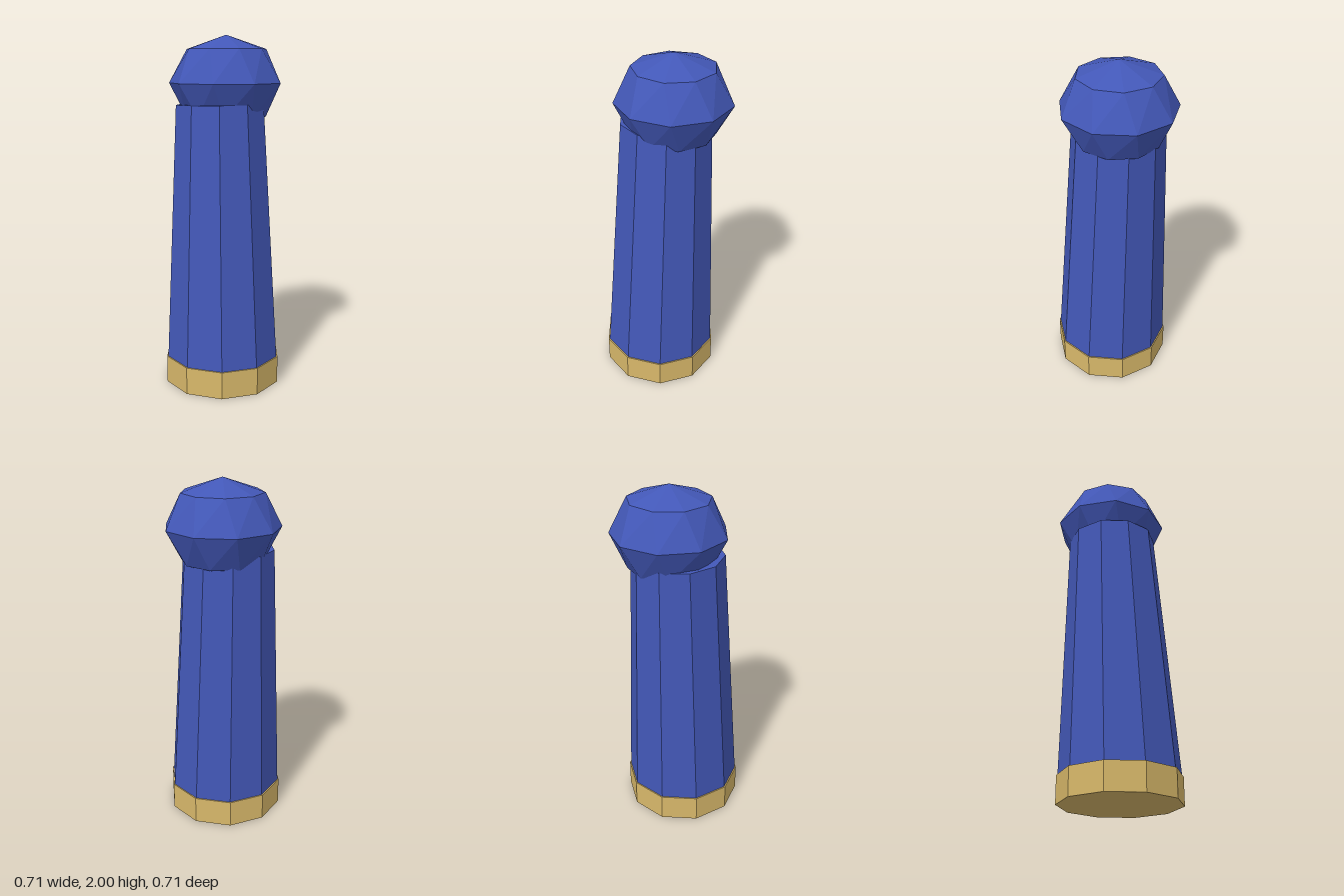
import * as THREE from 'three';
import { ConvexGeometry } from 'three/addons/geometries/ConvexGeometry.js';

const blue = new THREE.MeshStandardMaterial({ color: 0x4358b8, flatShading: true });
blue.name = 'blue';
const gold = new THREE.MeshStandardMaterial({ color: 0xd8b86a, flatShading: true });
gold.name = 'gold';

// Ten-sided section with a corner on the +x axis
function decagon(topRadius, bottomRadius, bottomY, topY) {
  const g = new THREE.CylinderGeometry(topRadius, bottomRadius, topY - bottomY, 10, 1, false, Math.PI / 2);
  return g.translate(0, (topY + bottomY) / 2, 0);
}

export function createModel() {
  const group = new THREE.Group();
  const add = (name, geometry, material) => {
    const mesh = new THREE.Mesh(geometry, material);
    mesh.name = name;
    group.add(mesh);
    return mesh;
  };

  // Gold trim around the foot
  add('goldBand', decagon(0.34, 0.34, 0, 0.157), gold).position.set(-0.015, 0, 0.03);

  // Tapered sleeve, leaning slightly backwards with its end square to the lean
  const sleeve = decagon(0.257, 0.333, 0.15, 1.615);
  const p = sleeve.attributes.position;
  for (let i = 0; i < p.count; i++) {
    const t = (p.getY(i) - 0.15) / 1.465;
    p.setY(i, p.getY(i) + 0.03 * t * p.getZ(i));
    p.setZ(i, p.getZ(i) - 0.048 * t);
  }
  sleeve.computeVertexNormals();
  add('sleeve', sleeve, blue).position.set(-0.015, 0, 0.03);

  // Faceted rounded end: nine-sided rings, each twisted ten degrees
  const points = [new THREE.Vector3(0, 0.265, 0), new THREE.Vector3(0, -0.265, 0)];
  for (const ring of [-1, 0, 1]) {
    const lift = ring * Math.PI / 4;
    const radius = 0.325 * Math.cos(lift);
    for (let i = 0; i < 9; i++) {
      const a = THREE.MathUtils.degToRad(i * 40 + ring * 10);
      points.push(new THREE.Vector3(radius * Math.cos(a), 0.265 * Math.sin(lift), radius * Math.sin(a)));
    }
  }
  add('roundedEnd', new ConvexGeometry(points), blue).position.set(0.028, 1.735, -0.038);

  return group;
}
